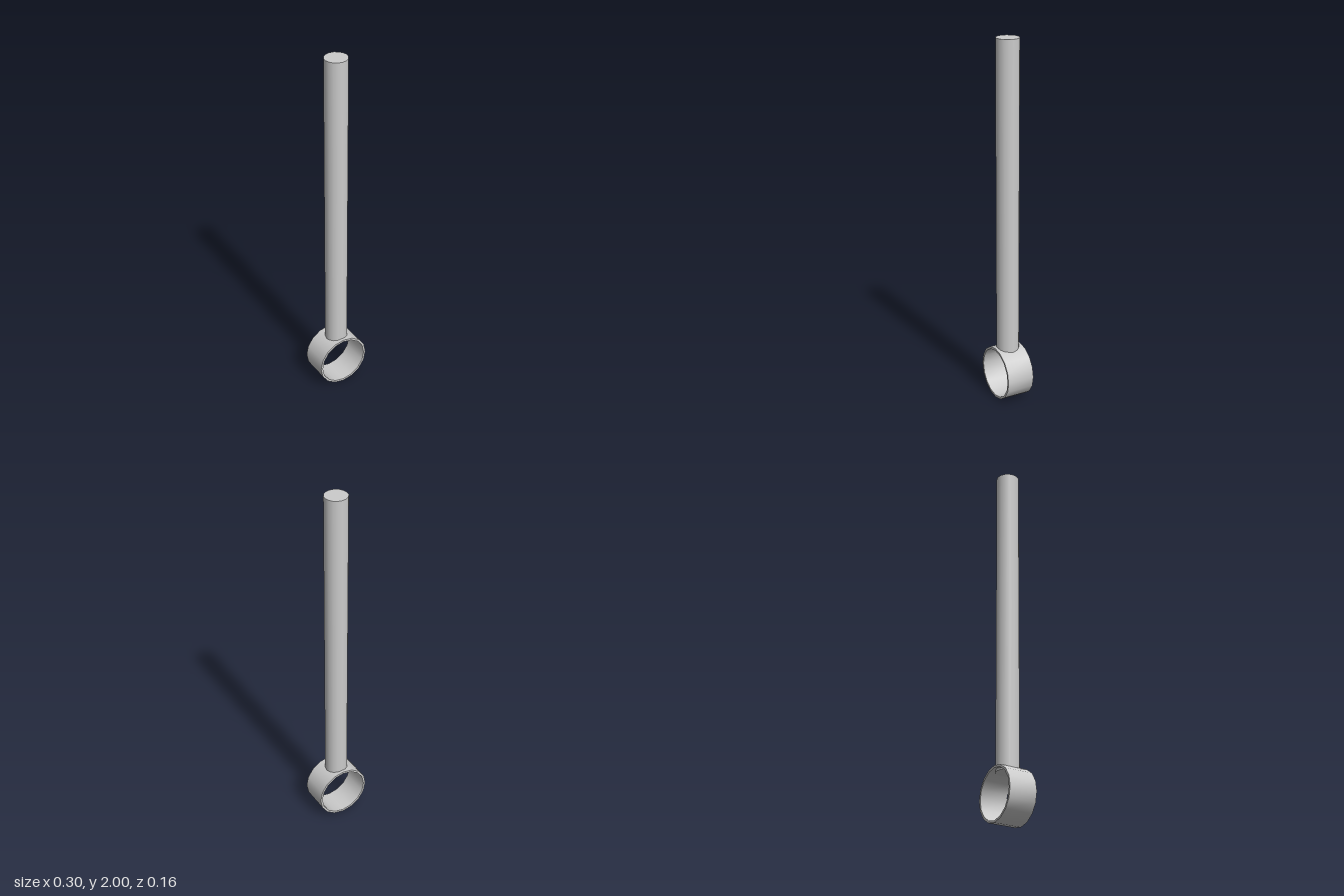
import * as THREE from 'three';
import { toCreasedNormals } from 'three/addons/utils/BufferGeometryUtils.js';

const SIDES = 16;
const RING_RADIUS = 0.148, RING_INNER = 0.136, RING_DEPTH = 0.155;
const ROD_RADIUS = 0.062, ROD_BOTTOM = 0.27, ROD_TOP = 2;

// Corners of a regular polygon with one corner on each axis
function polygon(radius) {
  return Array.from({ length: SIDES }, (_, i) => {
    const a = (i / SIDES) * Math.PI * 2;
    return new THREE.Vector2(Math.cos(a) * radius, Math.sin(a) * radius);
  });
}

export function createModel() {
  const group = new THREE.Group();
  const material = new THREE.MeshStandardMaterial({ color: 0xcccccc });

  // Thin-walled ring, open towards the front and back
  const profile = new THREE.Shape(polygon(RING_RADIUS));
  profile.holes.push(new THREE.Path(polygon(RING_INNER)));
  const ringGeometry = new THREE.ExtrudeGeometry(profile, { depth: RING_DEPTH, bevelEnabled: false });
  ringGeometry.translate(0, RING_RADIUS, -RING_DEPTH / 2);
  const ring = new THREE.Mesh(toCreasedNormals(ringGeometry, 0.7), material);
  ring.name = 'ring';
  group.add(ring);

  // Straight rod whose lower end pokes slightly through the ring wall
  const height = ROD_TOP - ROD_BOTTOM;
  const rod = new THREE.Mesh(new THREE.CylinderGeometry(ROD_RADIUS, ROD_RADIUS, height, SIDES), material);
  rod.position.y = ROD_BOTTOM + height / 2;
  rod.name = 'rod';
  group.add(rod);

  return group;
}
